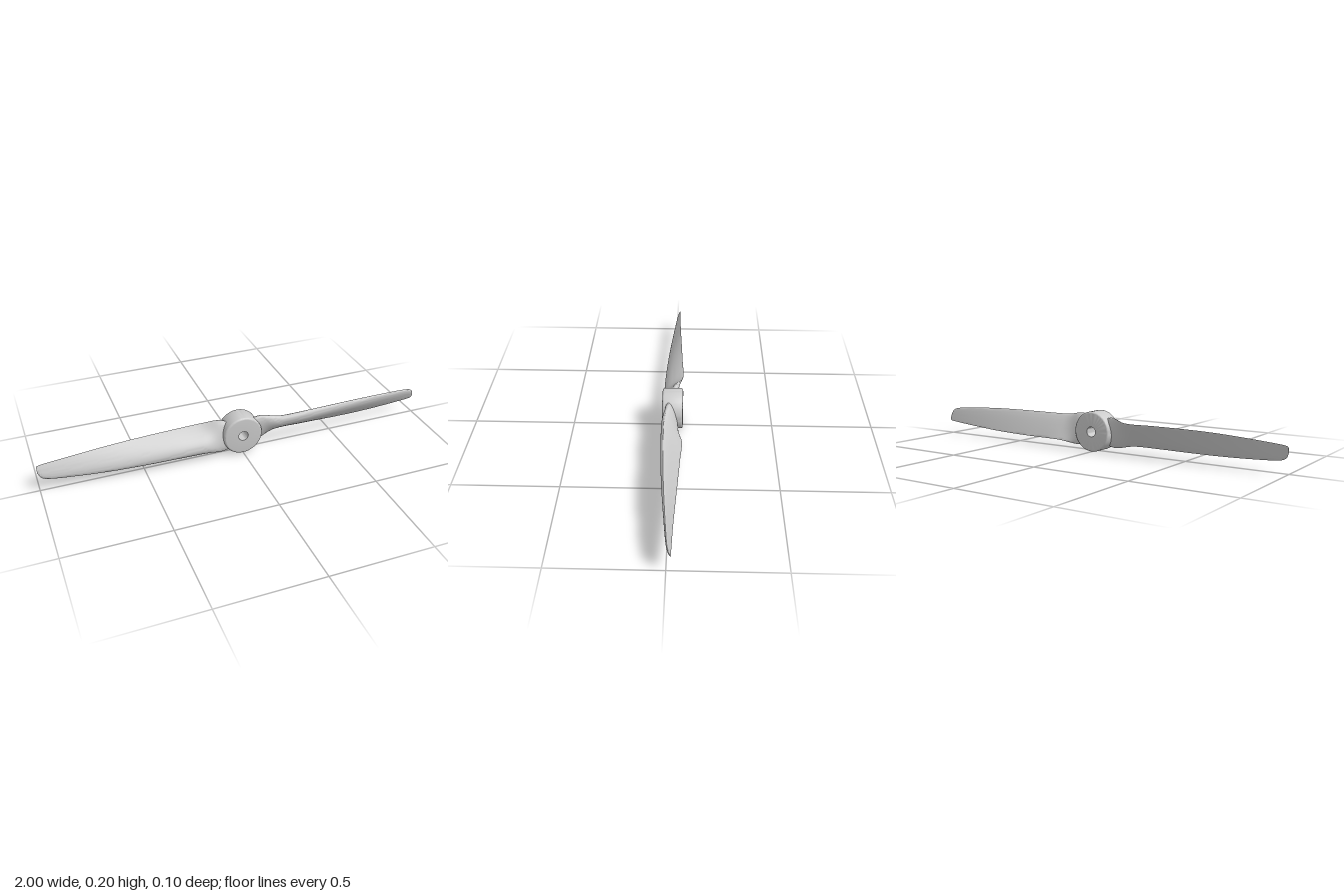
import * as THREE from 'three';
import { toCreasedNormals } from 'three/addons/utils/BufferGeometryUtils.js';

const HUB_Y = 0.1;

// Blade stations: x, leading edge (y, z), trailing edge (y, z), thickness, roundness
const STATIONS = [
  [0.06, 0.174, 0.020, 0.034, -0.004, 0.050, 1],
  [0.11, 0.181, 0.024, 0.025, -0.023, 0.050, 0.8],
  [0.20, 0.166, 0.036, 0.042, -0.050, 0.041, 0],
  [0.35, 0.164, 0.034, 0.042, -0.044, 0.037, 0],
  [0.50, 0.164, 0.029, 0.043, -0.037, 0.031, 0],
  [0.65, 0.162, 0.022, 0.047, -0.030, 0.024, 0],
  [0.80, 0.156, 0.012, 0.056, -0.024, 0.017, 0],
  [0.94, 0.146, 0.001, 0.067, -0.021, 0.011, 0],
  [0.985, 0.132, -0.004, 0.072, -0.020, 0.008, 0],
  [1.00, 0.105, -0.010, 0.077, -0.019, 0.004, 0],
];

const curve = (pick) => new THREE.CatmullRomCurve3(
  STATIONS.map((s) => new THREE.Vector3(...pick(s))), false, 'catmullrom', 0.5);

// Aerofoil half thickness along the chord, scaled to a peak of 1
const foil = (s) => 10 * (0.2969 * Math.sqrt(s) - 0.126 * s - 0.3516 * s ** 2 + 0.2843 * s ** 3 - 0.1015 * s ** 4);

// Lofted blade along +x: rounded at the root, flat-backed aerofoil further out
function bladeGeometry() {
  const lead = curve((s) => [s[0], s[1], s[2]]);
  const trail = curve((s) => [s[0], s[3], s[4]]);
  const form = curve((s) => [s[0], s[5], s[6]]);
  const rings = 72, sides = 40;
  const pos = [], index = [];
  for (let i = 0; i <= rings; i++) {
    const t = i / rings;
    const le = lead.getPoint(t), te = trail.getPoint(t), f = form.getPoint(t);
    const round = THREE.MathUtils.clamp(f.z, 0, 1);
    const dy = te.y - le.y, dz = te.z - le.z, len = Math.hypot(dy, dz);
    for (let j = 0; j < sides; j++) {
      const a = (j / sides) * Math.PI * 2;
      const s = (1 - Math.cos(a)) / 2;
      const shape = THREE.MathUtils.lerp(foil(s), Math.abs(Math.sin(a)), round);
      const share = a <= Math.PI ? 0.85 - 0.35 * round : -(0.15 + 0.35 * round);
      const h = f.y * shape * share;
      pos.push(le.x, le.y + dy * s + (dz / len) * h - HUB_Y, le.z + dz * s - (dy / len) * h);
    }
  }
  for (let i = 0; i < rings; i++) {
    for (let j = 0; j < sides; j++) {
      const k = (j + 1) % sides;
      const a = i * sides + j, b = i * sides + k, c = a + sides, d = b + sides;
      index.push(a, b, c, b, d, c);
    }
  }
  // Tip cap
  const last = rings * sides;
  for (let j = 1; j < sides - 1; j++) index.push(last, last + j, last + j + 1);
  const g = new THREE.BufferGeometry();
  g.setAttribute('position', new THREE.Float32BufferAttribute(pos, 3));
  g.setIndex(index);
  return toCreasedNormals(g, 0.8);
}

// Hub drum with rounded rims and a through bore
function hubGeometry() {
  const R = 0.1, bore = 0.025, z0 = -0.051, z1 = 0.05, r = 0.01;
  const pts = [new THREE.Vector2(bore, z0)];
  for (let i = 0; i <= 5; i++) {
    const a = (i / 5) * Math.PI / 2;
    pts.push(new THREE.Vector2(R - r + r * Math.sin(a), z0 + r - r * Math.cos(a)));
  }
  for (let i = 0; i <= 5; i++) {
    const a = (i / 5) * Math.PI / 2;
    pts.push(new THREE.Vector2(R - r + r * Math.cos(a), z1 - r + r * Math.sin(a)));
  }
  pts.push(new THREE.Vector2(bore, z1), new THREE.Vector2(bore, z0));
  return toCreasedNormals(new THREE.LatheGeometry(pts, 64).rotateX(Math.PI / 2), 0.6);
}

export function createModel() {
  const model = new THREE.Group();
  model.name = 'propeller';
  const material = new THREE.MeshStandardMaterial({ color: 0xcccccc });
  const add = (name, geometry, spin = 0) => {
    const mesh = new THREE.Mesh(geometry, material);
    mesh.name = name;
    mesh.position.y = HUB_Y;
    mesh.rotation.z = spin;
    model.add(mesh);
  };
  add('hub', hubGeometry());
  // Two identical blades, half a turn apart
  const blade = bladeGeometry();
  add('leftBlade', blade);
  add('rightBlade', blade, Math.PI);
  return model;
}
